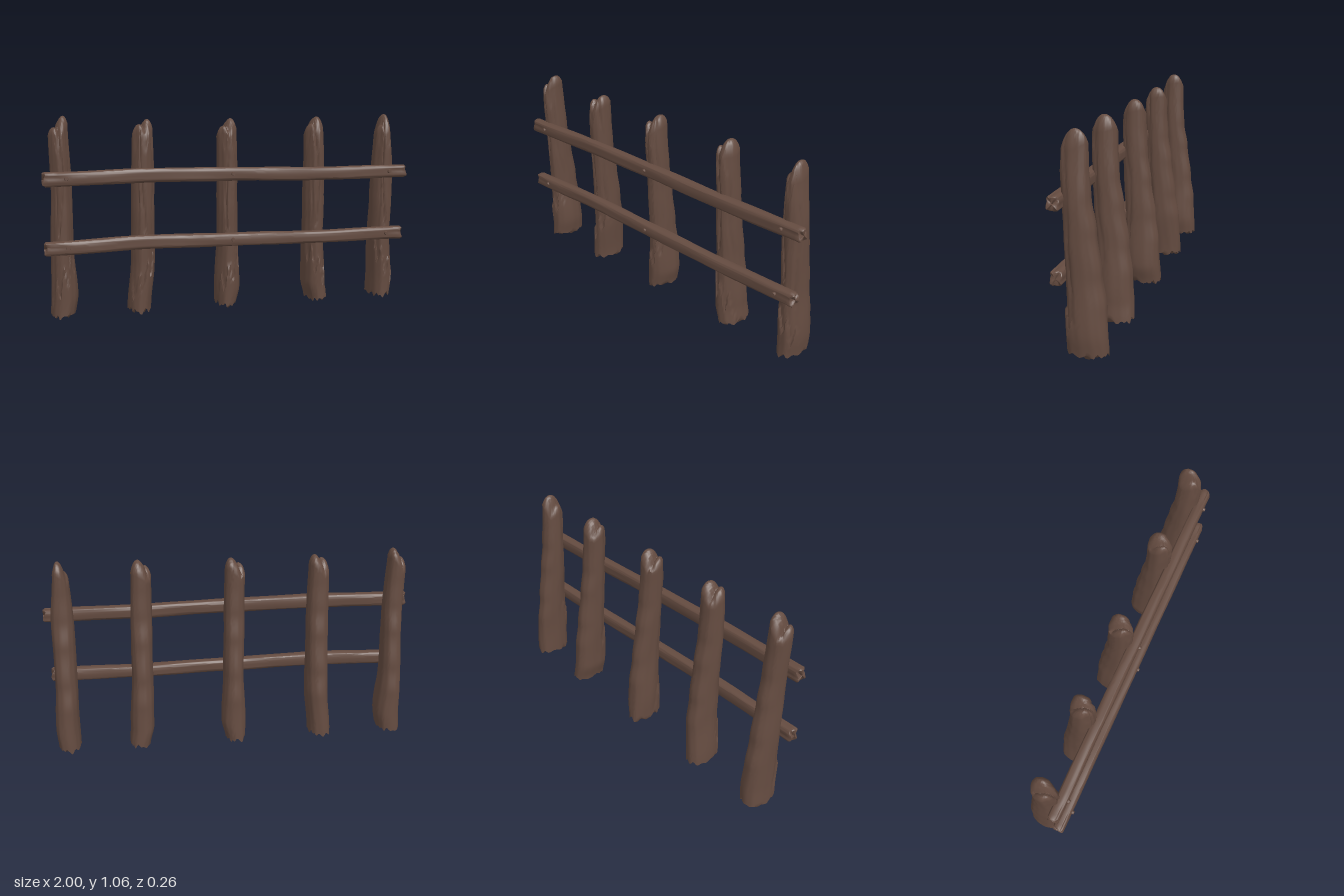
import * as THREE from 'three';
import { toCreasedNormals } from 'three/addons/utils/BufferGeometryUtils.js';

const wood = new THREE.MeshStandardMaterial({ color: 0x644b40 });
wood.name = 'brown wood';

const smooth = (a, b, t) => THREE.MathUtils.smoothstep(t, a, b);
const bump = (t, c, w) => Math.exp(-(((t - c) / w) ** 2));

// Interpolates rows of [key, value, value, ...]
function sample(rows, k) {
  let i = 0;
  while (i < rows.length - 2 && k > rows[i + 1][0]) i++;
  const a = rows[i], b = rows[i + 1];
  const t = smooth(0, 1, (k - a[0]) / (b[0] - a[0]));
  return a.slice(1).map((v, n) => v + (b[n + 1] - v) * t);
}

// Skin over closed rings of points, first to last
function loft(rings) {
  const n = rings[0].length, index = [];
  for (let r = 0; r < rings.length - 1; r++) {
    for (let j = 0; j < n; j++) {
      const a = r * n + j, b = r * n + (j + 1) % n;
      index.push(a, a + n, b, b, a + n, b + n);
    }
  }
  const geo = new THREE.BufferGeometry();
  geo.setAttribute('position', new THREE.Float32BufferAttribute(rings.flat(2), 3));
  geo.setIndex(index);
  return toCreasedNormals(geo, 0.75);
}

function part(name, geo) {
  const mesh = new THREE.Mesh(geo, wood);
  mesh.name = name;
  return mesh;
}

// Back and front z of every post by height
const DEPTH = [
  [0, -0.13, 0.068], [0.25, -0.118, 0.076], [0.4, -0.098, 0.079], [0.6, -0.072, 0.085],
  [0.75, -0.05, 0.088], [0.9, -0.042, 0.093], [1.05, -0.038, 0.09],
];

// Left and right x by height, then the two broken tips: [x, z, height]
const POSTS = [
  { width: [[0, -0.975, -0.845], [0.12, -0.97, -0.83], [0.35, -0.965, -0.845], [0.7, -0.955, -0.848], [1.05, -0.96, -0.86]],
    tips: [[-0.6, 0.4, 1.01], [0.55, -0.2, 1.065]], chip: 1 },
  { width: [[0, -0.565, -0.44], [0.3, -0.545, -0.418], [0.5, -0.54, -0.418], [0.7, -0.54, -0.418], [1.05, -0.53, -0.425]],
    tips: [[-0.5, 0.4, 1.02], [0.5, -0.2, 1.045]], chip: 1 },
  { width: [[0, -0.075, 0.035], [0.12, -0.078, 0.058], [0.4, -0.068, 0.043], [0.7, -0.073, 0.038], [1.05, -0.078, 0.028]],
    tips: [[-0.6, 0.5, 1.01], [0.45, -0.2, 1.045]], chip: 1 },
  { width: [[0, 0.46, 0.575], [0.12, 0.435, 0.565], [0.45, 0.43, 0.545], [0.7, 0.425, 0.54], [1.05, 0.42, 0.525]],
    tips: [[-0.6, 0.5, 1.015], [0.3, -0.1, 1.05]], chip: -1 },
  { width: [[0, 0.845, 0.965], [0.12, 0.845, 0.975], [0.4, 0.84, 0.957], [0.7, 0.835, 0.955], [1.05, 0.848, 0.925]],
    tips: [[-0.6, 0.4, 1.0], [0.25, -0.2, 1.06]], chip: -1 },
];

function makePost({ width, tips, chip }, id) {
  const SEG = 56, ROWS = 56, CAP = 9;
  const seed = id * 2.3;
  // Broken top: two tips with a hollow between them
  const topAt = (u, v) => {
    let h = 0.965 + 0.008 * Math.sin(9 * u + seed) * Math.sin(7 * v + seed);
    for (const [x, z, y] of tips) {
      h = Math.max(h, y - 0.09 * Math.pow(Math.hypot(u - x, (v - z) * 0.75), 2));
    }
    return h - 0.02 * Math.pow(u * u + v * v, 3);
  };
  // Ragged, splintered foot
  const footAt = (u, v) => 0.022 + 0.012 * Math.sin(7 * u + seed) * Math.cos(6 * v - seed)
    + 0.008 * Math.sin(13 * u + 9 * v + seed);

  const point = (a, y, s) => {
    const [x0, x1] = sample(width, y), [z0, z1] = sample(DEPTH, y);
    const c = Math.cos(a), d = Math.sin(a);
    let r = 1 + 0.025 * Math.sin(3 * a + 5 * y + seed) * Math.sin(9 * y + seed)
      + 0.012 * Math.sin(11 * a + 2 * Math.sin(4 * y + seed));
    // Peeled bark low on the front and beside the top
    const front = smooth(0.15, 0.6, d);
    const edge = 0.2 + 0.06 * Math.sin(9 * a + seed) + 0.1 * c * chip;
    r -= 0.1 * front * smooth(0.012, -0.012, y - edge);
    const topEdge = 0.93 + 0.05 * Math.sin(6 * a + seed);
    r -= 0.06 * front * smooth(-0.012, 0.012, y - topEdge);
    // Long cracks
    const crackA = 1.75 + 0.25 * Math.sin(6 * y + seed);
    r -= 0.1 * bump(a, crackA, 0.09) * smooth(0.45, 0.2, y);
    r -= 0.07 * bump(a, 2.3 + 0.15 * Math.sin(8 * y), 0.09) * bump(y, 0.62, 0.14);
    r -= 0.06 * bump(a, 0.5 + 0.2 * Math.sin(11 * y + seed), 0.1) * smooth(0.3, 0.1, y);
    const taper = 1 - 0.12 * Math.max(0, d);
    const k = r * s;
    const ex = Math.sign(c) * Math.pow(Math.abs(c), 0.8) * taper;
    const ez = Math.sign(d) * Math.pow(Math.abs(d), 0.92);
    return [(x0 + x1) / 2 + ex * k * (x1 - x0) / 2, (z0 + z1) / 2 + ez * k * (z1 - z0) / 2];
  };

  const ring = (s, height) => Array.from({ length: SEG }, (_, j) => {
    const a = j / SEG * Math.PI * 2;
    const y = height(s * Math.cos(a), s * Math.sin(a), a);
    const [x, z] = point(a, y, s);
    return [x, y, z];
  });

  const rings = [];
  for (let i = 0; i < CAP; i++) rings.push(ring(i / CAP, footAt));
  for (let i = 0; i <= ROWS; i++) {
    rings.push(ring(1, (u, v) => THREE.MathUtils.lerp(footAt(u, v), topAt(u, v), i / ROWS)));
  }
  for (let i = CAP - 1; i >= 0; i--) rings.push(ring(i / CAP, topAt));
  return part('post' + (id + 1), loft(rings));
}

// Centre height and half height of each rail along x
const RAILS = [
  { name: 'upperRail', x0: -1, x1: 1, line: [[-1, 0.748, 0.037], [-0.45, 0.756, 0.037], [0, 0.752, 0.036], [0.5, 0.742, 0.036], [1, 0.743, 0.035]] },
  { name: 'lowerRail', x0: -1, x1: 0.985, line: [[-1, 0.392, 0.036], [-0.45, 0.405, 0.036], [0, 0.398, 0.035], [0.5, 0.39, 0.034], [1, 0.393, 0.036]] },
];

function makeRail({ x0, x1, line }, id) {
  const SEG = 40, ROWS = 80;
  const ring = (t, s) => Array.from({ length: SEG }, (_, j) => {
    const a = j / SEG * Math.PI * 2, c = Math.cos(a), d = Math.sin(a);
    const end = Math.pow(Math.abs(2 * t - 1), 40);
    const x = THREE.MathUtils.lerp(x0, x1, t)
      - Math.sign(t - 0.5) * end * (0.007 + 0.007 * Math.sin(3 * a + id));
    const [cy, hy] = sample(line, x);
    // Grain, and splits running in from both ends
    let r = 1 + 0.018 * Math.sin(9 * a + 1.5 * Math.sin(5 * x + id)) + 0.02 * Math.sin(14 * x + 2 * a + id);
    const split = smooth(0.84, 0.95, Math.abs(x));
    r -= split * (0.16 * bump(a, 0.15, 0.13) + 0.14 * bump(a, 1.3, 0.16) + 0.14 * bump(a, 3.3, 0.16) + 0.1 * bump(a, 5.3, 0.16));
    const sq = (v) => Math.sign(v) * Math.pow(Math.abs(v), 0.55);
    return [x, cy + sq(d) * hy * r * s, 0.091 + sq(c) * 0.03 * r * s];
  });
  const rings = [ring(0, 0), ring(0, 0.5), ring(0, 0.88)];
  for (let i = 0; i <= ROWS; i++) rings.push(ring(0.003 + 0.994 * i / ROWS, 1));
  rings.push(ring(1, 0.88), ring(1, 0.5), ring(1, 0));
  return loft(rings);
}

export function createModel() {
  const fence = new THREE.Group();
  fence.name = 'fence';
  POSTS.forEach((post, i) => fence.add(makePost(post, i)));

  RAILS.forEach((rail, i) => {
    fence.add(part(rail.name, makeRail(rail, i)));
    // Nail heads
    for (const x of [-0.88, -0.012, 0.89 - i * 0.01]) {
      const nail = part('nail', new THREE.CylinderGeometry(0.009, 0.013, 0.022, 12));
      nail.rotation.x = Math.PI / 2;
      nail.position.set(x, sample(rail.line, x)[0] + 0.003, 0.12);
      fence.add(nail);
    }
  });
  return fence;
}
